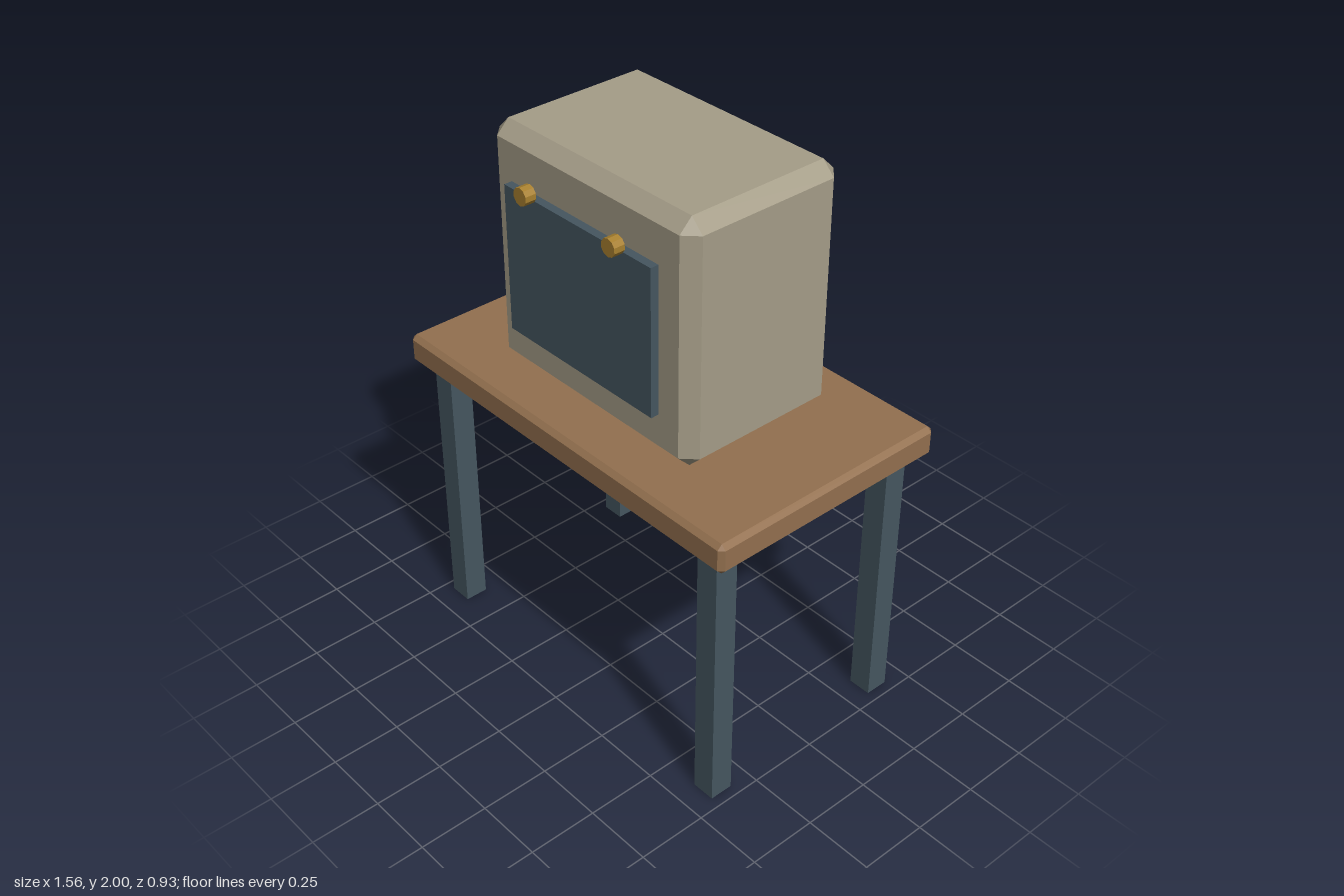
import * as THREE from 'three';
import { ConvexGeometry } from 'three/addons/geometries/ConvexGeometry.js';

const material = (color) => new THREE.MeshStandardMaterial({ color, flatShading: true });

// Box with every edge and corner cut by a flat bevel c
function chamferBox(w, h, d, c) {
  const points = [];
  const x = w / 2, y = h / 2, z = d / 2;
  for (const i of [-1, 1]) for (const j of [-1, 1]) for (const k of [-1, 1]) {
    points.push(
      new THREE.Vector3(i * x, j * (y - c), k * (z - c)),
      new THREE.Vector3(i * (x - c), j * y, k * (z - c)),
      new THREE.Vector3(i * (x - c), j * (y - c), k * z)
    );
  }
  return new ConvexGeometry(points);
}

export function createModel() {
  const model = new THREE.Group();
  model.name = 'ovenOnTable';

  const wood = material(0x93704f);
  const steel = material(0x455660);
  const enamel = material(0xa59d88);
  const brass = material(0xa8802f);

  function add(parent, name, geometry, mat, x, y, z) {
    const mesh = new THREE.Mesh(geometry, mat);
    mesh.name = name;
    mesh.position.set(x, y, z);
    parent.add(mesh);
    return mesh;
  }

  // Table: bevelled top on four square legs
  const table = new THREE.Group();
  table.name = 'table';
  model.add(table);
  add(table, 'tableTop', chamferBox(1.56, 0.11, 0.93, 0.017), wood, 0, 1.066, 0);
  const legGeometry = new THREE.BoxGeometry(0.085, 1.011, 0.085);
  for (const x of [-1, 1]) for (const z of [-1, 1]) {
    const name = (z > 0 ? 'front' : 'back') + (x > 0 ? 'Left' : 'Right') + 'Leg';
    add(table, name, legGeometry, steel, x * 0.669, 0.5055, z * 0.374);
  }

  // Oven: bevelled body with a door panel and two knobs at its front
  const oven = new THREE.Group();
  oven.name = 'oven';
  model.add(oven);
  add(oven, 'body', chamferBox(0.935, 0.872, 0.622, 0.047), enamel, 0, 1.564, 0);
  add(oven, 'doorPanel', new THREE.BoxGeometry(0.685, 0.525, 0.03), steel, 0, 1.566, 0.336);
  const knobGeometry = new THREE.CylinderGeometry(0.031, 0.031, 0.04, 10).rotateX(Math.PI / 2);
  for (const x of [-1, 1]) {
    add(oven, x > 0 ? 'leftKnob' : 'rightKnob', knobGeometry, brass, x * 0.206, 1.854, 0.376);
  }

  return model;
}
